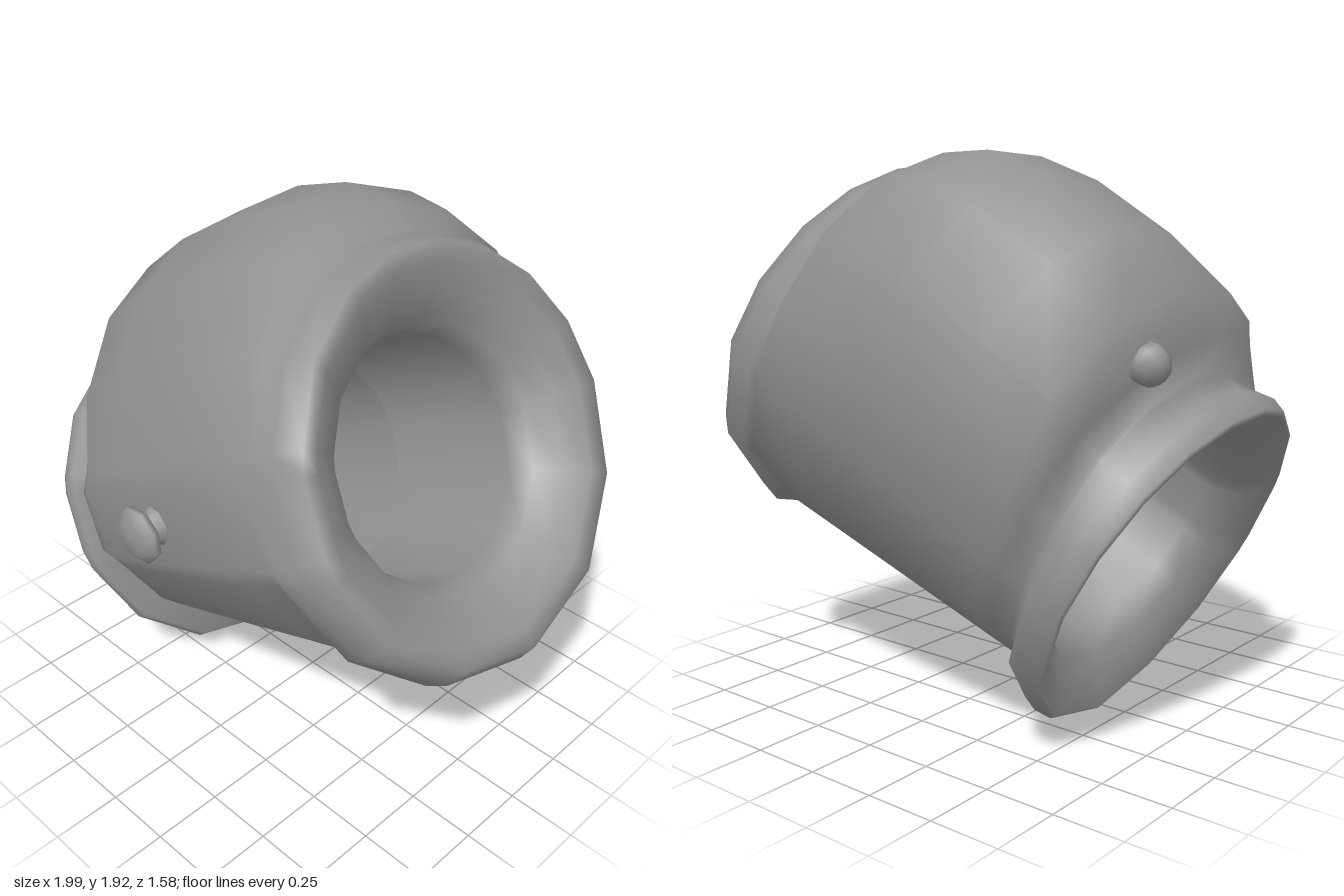
import * as THREE from 'three';

const CENTRE_Z = -0.03;
const rad = THREE.MathUtils.degToRad;
const mat = new THREE.MeshStandardMaterial({ color: 0x929292 });

function part(name, geometry) {
  const mesh = new THREE.Mesh(geometry, mat);
  mesh.name = name;
  return mesh;
}

// Point on the cuff: angle 0 faces the front, 90 the top, 180 the back
function shellPoint(deg, s, r) {
  return [-r * Math.sin(rad(deg)), s, CENTRE_Z + r * Math.cos(rad(deg))];
}

// Columns: [angle, share of the hump, lift of the front strap]
const columns = [
  [-90, 0, 0], [-62, 0, 0], [-35, 0.02, 0], [-11, 0.1, 0], [-4, 0.17, 0.02], [17, 0.25, 0.02],
  [23, 0.28, 0], [45, 0.45, 0], [68, 0.72, 0], [86, 0.92, 0], [104, 1.06, 0], [122, 1.1, 0],
  [140, 0.87, 0], [160, 0.44, 0], [180, 0.2, 0], [208, 0.06, 0], [238, 0, 0],
];

// Rims with funnel mouths, and lining: [position on axis, radius]
const narrowRim = [
  [0, 0.42], [-0.58, 0.42], [-0.67, 0.465], [-0.74, 0.55], [-0.782, 0.615],
  [-0.775, 0.632], [-0.715, 0.648], [-0.66, 0.638],
];
const wideRim = [
  [0.605, 0.74], [0.70, 0.732], [0.782, 0.685], [0.765, 0.62], [0.715, 0.54],
  [0.645, 0.455], [0.56, 0.42], [0, 0.42],
];

// Humped body: [position on axis, radius at the top of the hump, depth of the dish]
const body = [
  [-0.615, 0.66, 0], [-0.6, 0.72, 0.07], [-0.53, 0.82, 0.15], [-0.478, 0.907, 0], [-0.2, 0.964, 0],
  [0.14, 0.979, 0], [0.39, 0.938, 0], [0.58, 0.84, 0],
];

function bodyRadius([deg, share, lift], [s, top, dish]) {
  const cone = 0.535 + 0.133 * (s + 0.615);
  const side = (0.02 - 0.02 * s) * Math.cos(rad(deg)) ** 2;
  const hollow = dish * Math.max(0, 1 - Math.abs(deg - 120) / 52);
  return cone + side + (top - cone) * share + lift - hollow;
}

// The front of the narrow rim lies slightly further in
function rimPosition(deg, s) {
  return s + 0.35 * Math.max(0, -0.66 - s) * Math.max(0, Math.cos(rad(deg)));
}

// One continuous skin: lining, narrow rim, body, wide rim and back inside
function cuffGeometry() {
  const rings = [
    ...narrowRim.map(([s, r]) => columns.map(([d]) => shellPoint(d, rimPosition(d, s), r))),
    ...body.map((row) => columns.map((c) => shellPoint(c[0], row[0], bodyRadius(c, row)))),
    ...wideRim.map(([s, r]) => columns.map(([d]) => shellPoint(d, s, r))),
  ];
  const n = columns.length, index = [];
  for (let j = 0; j < rings.length - 1; j++) {
    for (let i = 0; i < n; i++) {
      const a = j * n + i, b = j * n + (i + 1) % n;
      index.push(a, a + n, b, b, a + n, b + n);
    }
  }
  const g = new THREE.BufferGeometry();
  g.setAttribute('position', new THREE.Float32BufferAttribute(rings.flat(2), 3));
  g.setIndex(index);
  g.computeVertexNormals();
  return g;
}

export function createModel() {
  const model = new THREE.Group();
  model.name = 'cuff';

  // Everything is built along y, then tilted onto the cuff axis
  const tilted = new THREE.Group();
  tilted.name = 'tiltedCuff';
  tilted.position.set(-0.015, 0.91, 0);
  tilted.rotation.z = -rad(62.2);
  model.add(tilted);

  tilted.add(part('shell', cuffGeometry()));

  // Mushroom stud on the front strap
  const studProfile = [
    [0.08, 0], [0.045, 0.05], [0.05, 0.06], [0.1, 0.075], [0.1, 0.095], [0.06, 0.125], [0, 0.13],
  ].map(([r, h]) => new THREE.Vector2(r, h));
  const stud = part('stud', new THREE.LatheGeometry(studProfile, 8, Math.PI / 2));
  stud.rotation.x = Math.PI / 2;
  stud.position.set(-0.09, 0.011, 0.67);
  tilted.add(stud);

  // Small bead in the dished end of the hump
  const bead = part('bead', new THREE.SphereGeometry(0.07, 8, 6));
  bead.position.set(...shellPoint(116, -0.53, 0.765));
  tilted.add(bead);

  return model;
}
